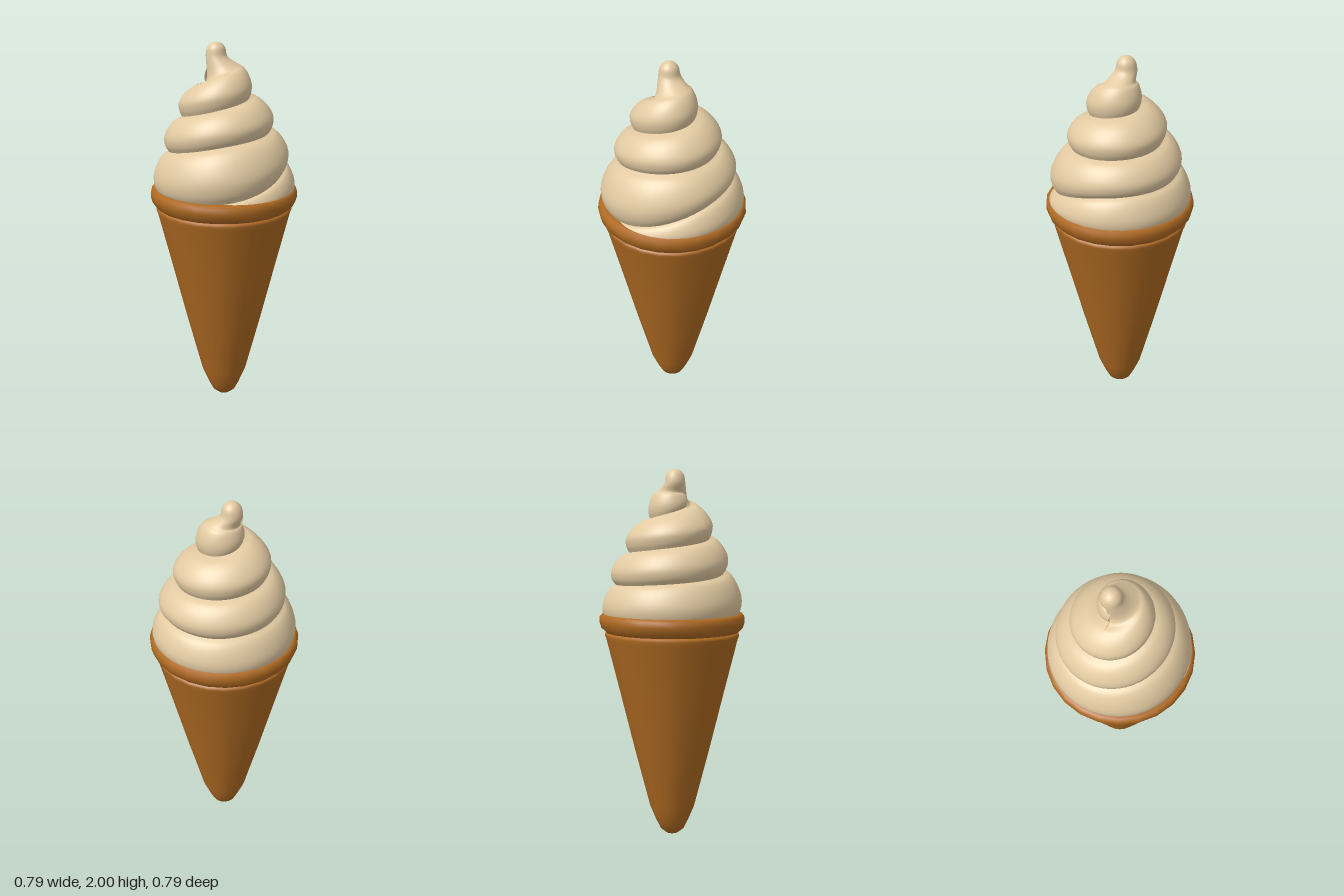
import * as THREE from 'three';

const wafer = new THREE.MeshStandardMaterial({ color: 0xaf6a22 });
wafer.name = 'wafer brown';
const cream = new THREE.MeshStandardMaterial({ color: 0xe2caa2, side: THREE.DoubleSide });
cream.name = 'vanilla cream';

// Crease spiral in quarter turns from the model's right side, by way of the front:
// [bulge radius, crease height]
const spiral = new THREE.SplineCurve([
  [0.37, 1.16], [0.375, 1.19], [0.378, 1.2], [0.375, 1.2],
  [0.375, 1.21], [0.37, 1.245], [0.337, 1.375], [0.322, 1.398],
  [0.313, 1.435], [0.275, 1.515], [0.257, 1.55], [0.24, 1.575],
  [0.233, 1.62], [0.177, 1.69], [0.139, 1.73], [0.113, 1.755],
  [0.1, 1.8], [0.09, 1.86], [0.085, 1.885], [0.085, 1.88], [0.085, 1.875],
].map(([r, y]) => new THREE.Vector2(r, y)));
const spiralAt = (turn) => spiral.getPoint((turn + 1) / 5);

// Section of one layer, from its crease up to the crease of the turn above
function layerSection(turn, withTip) {
  const a = turn * Math.PI * 2;
  const low = spiralAt(turn), high = spiralAt(turn + 1);
  const r = low.x, h = high.y - low.y, end = 0.93 * high.x, d = r - end;
  const at = (rad, y, cx = 0, cz = 0) =>
    new THREE.Vector3(cx - rad * Math.cos(a), y, cz + rad * Math.sin(a));
  const pts = [
    at(0.93 * r, low.y), at(0.985 * r, low.y + 0.16 * h), at(r, low.y + 0.4 * h),
    at(r - 0.25 * d, low.y + 0.7 * h), at(r - 0.62 * d, low.y + 0.91 * h), at(end, high.y),
  ];
  if (withTip) {
    pts.push(at(0.056, 1.925, -0.035, -0.02), at(0.046, 1.97, -0.037, -0.02),
      at(0.025, 1.993, -0.037, -0.02), at(0, 2, -0.037, -0.02));
  }
  return new THREE.CatmullRomCurve3(pts).getPoints(withTip ? 36 : 20);
}

// Winds the layer section round the axis between two turns
function swirl(name, from, to, withTip) {
  const steps = Math.round((to - from) * 48), pos = [], index = [];
  let n = 0;
  for (let i = 0; i <= steps; i++) {
    const row = layerSection(from + ((to - from) * i) / steps, withTip);
    n = row.length;
    row.forEach((p) => pos.push(p.x, p.y, p.z));
  }
  for (let i = 0; i < steps; i++) {
    for (let j = 0; j < n - 1; j++) {
      const a = i * n + j, b = a + n;
      index.push(a, b, a + 1, b, b + 1, a + 1);
    }
  }
  const geo = new THREE.BufferGeometry();
  geo.setAttribute('position', new THREE.Float32BufferAttribute(pos, 3));
  geo.setIndex(index);
  geo.computeVertexNormals();
  if (withTip) {
    for (let i = 0; i <= steps; i++) geo.attributes.normal.setXYZ(i * n + n - 1, 0, 1, 0);
  }
  const mesh = new THREE.Mesh(geo, cream);
  mesh.name = name;
  return mesh;
}

function turned(name, profile) {
  const pts = profile.map(([r, y]) => new THREE.Vector2(r, y));
  const mesh = new THREE.Mesh(new THREE.LatheGeometry(pts, 24), wafer);
  mesh.name = name;
  return mesh;
}

export function createModel() {
  const group = new THREE.Group();
  group.name = 'iceCreamCone';

  // Tapered wafer with a rounded point and a small lip
  group.add(turned('cone', [
    [0, 0], [0.035, 0.005], [0.065, 0.03], [0.09, 0.08], [0.123, 0.16], [0.205, 0.48],
    [0.283, 0.8], [0.357, 1.1], [0.365, 1.12], [0.362, 1.134], [0.34, 1.142],
  ]));

  // Rolled rim, closed across the top
  group.add(turned('rim', [
    [0.33, 1.138], [0.362, 1.14], [0.384, 1.162], [0.394, 1.195], [0.392, 1.222],
    [0.378, 1.238], [0.355, 1.238], [0.3, 1.23], [0, 1.23],
  ]));

  // Soft-serve layers and the curled peak
  group.add(swirl('creamLayers', -1, 2, false));
  group.add(swirl('creamPeak', 2, 3, true));
  return group;
}
